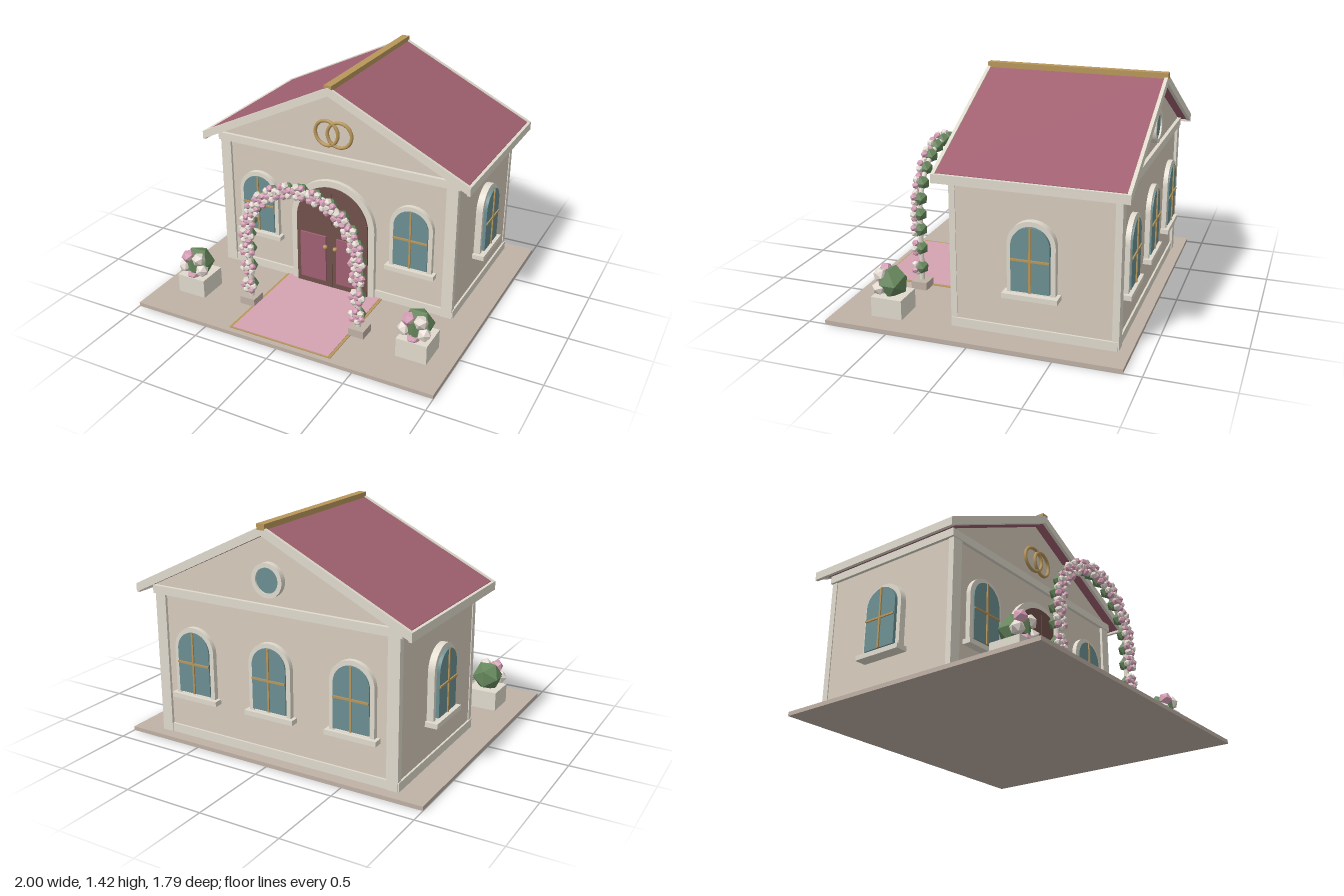
import * as THREE from 'three';

const mat = (color, flat = false) =>
  new THREE.MeshStandardMaterial({ color, flatShading: flat, side: THREE.DoubleSide });
const M = {
  wall: mat(0xd6cbbc), trim: mat(0xe0dacd), ground: mat(0xbfb1a5), roof: mat(0xa06070),
  gold: mat(0xb8965a), glass: mat(0x6b8f92), door: mat(0x70504a), panel: mat(0xa06074),
  carpet: mat(0xd4a2b1), leaf: mat(0x66875c, true), pink: mat(0xd6a0b6, true), cream: mat(0xe6dcd4, true),
};

function add(parent, name, geo, material, x = 0, y = 0, z = 0) {
  const m = new THREE.Mesh(geo, material);
  m.name = name;
  m.position.set(x, y, z);
  parent.add(m);
  return m;
}

// Box given by its minimum and maximum on each axis
function box(parent, name, material, x0, x1, y0, y1, z0, z1) {
  return add(parent, name, new THREE.BoxGeometry(x1 - x0, y1 - y0, z1 - z0), material,
    (x0 + x1) / 2, (y0 + y1) / 2, (z0 + z1) / 2);
}

function extrude(parent, name, shape, material, z0, z1) {
  const geo = new THREE.ExtrudeGeometry(shape, { depth: z1 - z0, bevelEnabled: false, curveSegments: 20 });
  return add(parent, name, geo, material, 0, 0, z0);
}

const polygon = (pts) => new THREE.Shape(pts.map(([x, y]) => new THREE.Vector2(x, y)));

// Round-headed opening: half width, bottom and springing height
function archShape(half, bottom, spring, Type = THREE.Shape) {
  const s = new Type();
  s.moveTo(-half, bottom);
  s.lineTo(half, bottom);
  s.lineTo(half, spring);
  s.absarc(0, spring, half, 0, Math.PI, false);
  s.lineTo(-half, bottom);
  return s;
}

function archFrame(outer, inner, bottom, spring) {
  const s = archShape(outer, bottom, spring);
  s.holes.push(archShape(inner, bottom + 0.002, spring, THREE.Path));
  return s;
}

// Arched window facing +z, its back on the wall
function makeWindow(parent, name, x, z, turn, out = 0) {
  const g = new THREE.Group();
  g.name = name;
  extrude(g, 'windowSurround', archFrame(0.141, 0.112, 0.31, 0.594), M.trim, -0.01, 0.03 + out / 2);
  extrude(g, 'windowGlass', archShape(0.113, 0.325, 0.594), M.glass, -0.01, 0.038 + out);
  const front = 0.046 + out;
  box(g, 'windowMullion', M.gold, -0.006, 0.006, 0.325, 0.706, 0.02, front);
  box(g, 'windowCrossbar', M.gold, -0.112, 0.112, 0.508, 0.52, 0.02, front);
  box(g, 'windowSill', M.trim, -0.163, 0.163, 0.28, 0.31, -0.01, 0.053 + out);
  g.position.set(x, 0, z);
  g.rotation.y = turn;
  parent.add(g);
}

// Leaf ball with a ring of blossoms on its front
function makeBouquet(parent, name, x, y, z, leafR, bloomR, ring, forward, count, phase) {
  const g = new THREE.Group();
  g.name = name;
  add(g, 'leaves', new THREE.IcosahedronGeometry(leafR, 0), M.leaf);
  for (let i = 0; i < count; i++) {
    const a = phase + (i / count) * Math.PI * 2;
    const b = add(g, 'blossom', new THREE.IcosahedronGeometry(bloomR, 0), i % 2 ? M.pink : M.cream,
      Math.cos(a) * ring, Math.sin(a) * ring, forward);
    b.rotation.set(a, a * 2, 0);
  }
  g.position.set(x, y, z);
  parent.add(g);
  return g;
}

export function createModel() {
  const root = new THREE.Group();
  root.name = 'weddingChapel';
  const WX = 0.81, ZF = 0.15, ZB = -0.81, ZC = -0.33;

  // Ground and carpet
  box(root, 'ground', M.ground, -1, 1, 0, 0.025, -0.895, 0.895);
  box(root, 'carpetBorder', M.gold, -0.345, 0.345, 0.02, 0.029, 0.15, 0.862);
  box(root, 'carpet', M.carpet, -0.328, 0.328, 0.02, 0.032, 0.15, 0.853);

  // Walls with gables, plinth, band and corner pilasters
  extrude(root, 'walls', polygon([[-WX, 0.02], [WX, 0.02], [WX, 0.965], [0, 1.36], [-WX, 0.965]]), M.wall, ZB, ZF);
  box(root, 'plinth', M.trim, -0.822, 0.822, 0.025, 0.08, -0.822, 0.163);
  box(root, 'eavesBand', M.trim, -0.83, 0.83, 0.905, 0.955, -0.832, 0.172);
  for (const s of [-1, 1]) {
    for (const [z0, z1] of [[0.13, 0.167], [-0.827, -0.787]]) {
      box(root, 'cornerPilaster', M.trim, s * 0.78 - 0.036, s * 0.78 + 0.036, 0.025, 0.91, z0, z1);
    }
  }

  // Roof slab, bargeboards, fascias and ridge cap
  const chevron = (x, eave, ridge, thick) => polygon([[-x, eave], [-x, eave - thick], [0, ridge - thick],
    [x, eave - thick], [x, eave], [0, ridge]]);
  extrude(root, 'roof', chevron(0.89, 0.97, 1.405, 0.04), M.roof, -0.866, 0.211);
  for (const z of [-0.886, 0.21]) {
    extrude(root, 'bargeboard', chevron(0.91, 0.967, 1.412, 0.053), M.trim, z, z + 0.021);
  }
  for (const s of [-1, 1]) {
    box(root, 'fascia', M.trim, s * 0.9 - 0.01, s * 0.9 + 0.01, 0.915, 0.967, -0.886, 0.231);
  }
  box(root, 'ridgeCap', M.gold, -0.025, 0.025, 1.39, 1.425, -0.888, 0.228);

  // Windows
  for (const s of [-1, 1]) {
    makeWindow(root, 'frontWindow', s * 0.535, ZF, 0);
    makeWindow(root, 'sideWindow', s * WX, ZC, s * Math.PI / 2, 0.024);
  }
  for (const x of [-0.535, 0, 0.535]) makeWindow(root, 'backWindow', x, ZB, Math.PI);

  // Round window in the back gable
  const disc = add(root, 'roundWindowGlass', new THREE.CylinderGeometry(0.08, 0.08, 0.04, 32), M.glass, 0, 1.1, ZB - 0.005);
  disc.rotation.x = Math.PI / 2;
  const ring = new THREE.Shape().absarc(0, 1.1, 0.1, 0, Math.PI * 2, false);
  ring.holes.push(new THREE.Path().absarc(0, 1.1, 0.074, 0, Math.PI * 2, true));
  extrude(root, 'roundWindowSurround', ring, M.trim, ZB - 0.035, ZB + 0.01);

  // Linked rings on the front gable
  for (const s of [-1, 1]) {
    const r = add(root, 'goldRing', new THREE.TorusGeometry(0.08, 0.011, 10, 40), M.gold, s * 0.044, 1.095, ZF + 0.014);
    r.rotation.y = s * 0.06;
  }

  // Double door with arched surround
  extrude(root, 'doorSurround', archFrame(0.292, 0.249, 0.025, 0.493), M.trim, ZF - 0.01, 0.18);
  extrude(root, 'doors', archShape(0.25, 0.025, 0.493), M.door, ZF - 0.01, 0.19);
  box(root, 'doorSeam', M.door, -0.003, 0.003, 0.025, 0.742, 0.18, 0.193);
  for (const s of [-1, 1]) {
    box(root, 'doorPanel', M.panel, s * 0.128 - 0.091, s * 0.128 + 0.091, 0.075, 0.4, 0.18, 0.203);
    add(root, 'doorKnob', new THREE.SphereGeometry(0.015, 16, 12), M.gold, s * 0.035, 0.333, 0.212);
  }

  // Flower arch: frame, feet and bouquets along the path
  const arch = new THREE.Group();
  arch.name = 'flowerArch';
  root.add(arch);
  const R = 0.375, SPRING = 0.515, AZ = 0.555;
  const stops = [];
  for (const y of [0.16, 0.29, 0.415]) stops.push([-R, y], [R, y]);
  const path = [new THREE.Vector3(-R, 0.05, AZ), new THREE.Vector3(-R, 0.3, AZ)];
  for (let i = 0; i <= 12; i++) {
    const a = Math.PI * (1 - i / 12);
    const x = Math.cos(a) * R, y = SPRING + Math.sin(a) * R;
    stops.push([x, y]);
    path.push(new THREE.Vector3(x, y, AZ));
  }
  path.push(new THREE.Vector3(R, 0.3, AZ), new THREE.Vector3(R, 0.05, AZ));
  add(arch, 'archFrame', new THREE.TubeGeometry(new THREE.CatmullRomCurve3(path), 80, 0.016, 8), M.trim);
  for (const s of [-1, 1]) {
    box(arch, 'archFoot', M.ground, s * 0.38 - 0.051, s * 0.38 + 0.051, 0.025, 0.075, 0.502, 0.605);
  }
  stops.forEach(([x, y], i) => {
    const b = makeBouquet(arch, 'archBouquet', x, y, AZ, 0.047, 0.024, 0.035, 0.031, 6, i * 0.7);
    add(b, 'blossom', new THREE.IcosahedronGeometry(0.022, 0), i % 2 ? M.pink : M.cream, 0, 0, 0.032);
  });

  // Planters
  for (const s of [-1, 1]) {
    box(root, 'planter', M.trim, s * 0.762 - 0.097, s * 0.762 + 0.097, 0.025, 0.147, 0.468, 0.663);
    makeBouquet(root, 'planterBouquet', s * 0.762, 0.22, 0.565, 0.1, 0.044, 0.066, 0.058, 5, 0.9);
  }
  return root;
}
